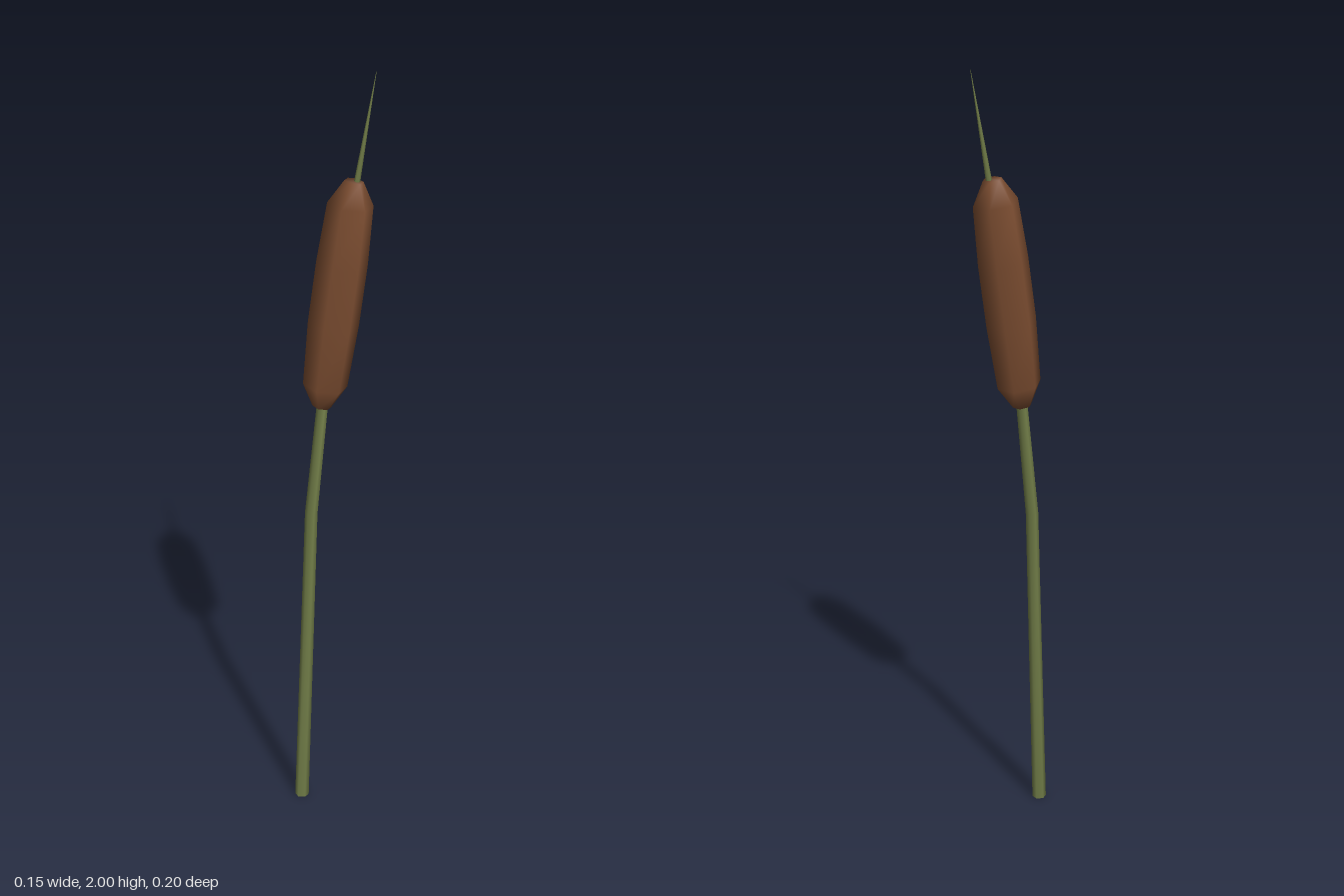
import * as THREE from 'three';

// Loft smooth horizontal rings along a path; each ring is [x, y, z, radius]
function loft(rings, sides, turn) {
  const pos = [], idx = [];
  const n = rings.length;
  rings.forEach(([x, y, z, r], i) => {
    const a = rings[Math.max(0, i - 1)], b = rings[Math.min(n - 1, i + 1)];
    // tilt each ring so it lies square to the path
    const dir = new THREE.Vector3(b[0] - a[0], b[1] - a[1], b[2] - a[2]).normalize();
    const tilt = new THREE.Quaternion().setFromUnitVectors(new THREE.Vector3(0, 1, 0), dir);
    for (let s = 0; s < sides; s++) {
      const t = turn + (s / sides) * Math.PI * 2;
      const p = new THREE.Vector3(Math.cos(t) * r, 0, Math.sin(t) * r).applyQuaternion(tilt);
      pos.push(x + p.x, Math.max(0, y + p.y), z + p.z);
    }
  });
  for (let i = 0; i < n - 1; i++) {
    for (let s = 0; s < sides; s++) {
      const a = i * sides + s, b = i * sides + (s + 1) % sides;
      idx.push(a, a + sides, b, b, a + sides, b + sides);
    }
  }
  // end caps
  const top = (n - 1) * sides;
  for (let s = 1; s < sides - 1; s++) {
    idx.push(0, s, s + 1, top, top + s + 1, top + s);
  }
  const g = new THREE.BufferGeometry();
  g.setAttribute('position', new THREE.Float32BufferAttribute(pos, 3));
  g.setIndex(idx);
  g.computeVertexNormals();
  return g;
}

export function createModel() {
  const group = new THREE.Group();
  group.name = 'reed';
  const green = new THREE.MeshStandardMaterial({ color: 0x717d48 });
  green.name = 'stem green';
  const brown = new THREE.MeshStandardMaterial({ color: 0x7a4c30 });
  brown.name = 'seed head brown';

  const add = (name, geometry, material) => {
    const m = new THREE.Mesh(geometry, material);
    m.name = name;
    group.add(m);
  };

  // Stem bends gently to the back and left
  add('stem', loft([
    [-0.05, 0.003, 0.084, 0.018],
    [-0.047, 0.84, 0.038, 0.016],
    [-0.03, 1.16, 0.008, 0.014],
  ], 6, Math.PI / 6), green);

  // Six-sided seed head with rounded ends
  add('seedHead', loft([
    [-0.031, 1.137, 0.012, 0.024],
    [-0.025, 1.195, 0.006, 0.056],
    [-0.011, 1.36, -0.010, 0.064],
    [0.003, 1.52, -0.027, 0.064],
    [0.016, 1.67, -0.043, 0.057],
    [0.022, 1.728, -0.049, 0.024],
  ], 6, 0.33), brown);

  // Thin pointed spike above the head
  add('spike', loft([
    [0.026, 1.71, -0.052, 0.008],
    [0.06, 2, -0.086, 0.0005],
  ], 6, Math.PI / 6), green);

  return group;
}
